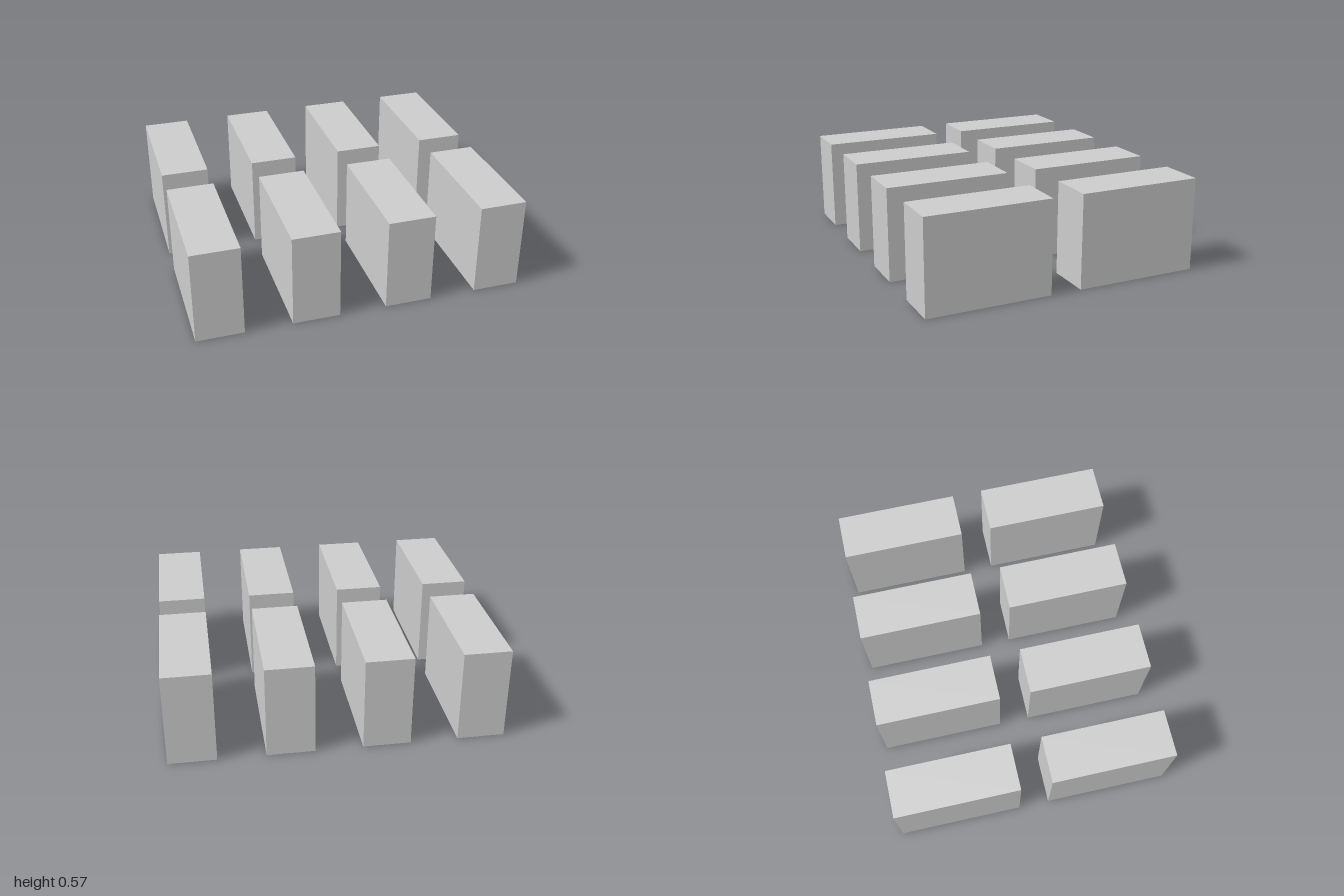
import * as THREE from 'three';

export function createModel() {
  const model = new THREE.Group();
  model.name = 'blockGrid';
  const material = new THREE.MeshStandardMaterial({ color: 0xcccccc });

  const unit = 1 / 7;
  const width = 2 * unit;
  const length = 0.762;
  const seam = 0.333; // height where the lower and upper courses meet
  const height = 4 * unit;

  const lowerGeometry = new THREE.BoxGeometry(width, seam, length).translate(0, seam / 2, 0);
  const upperGeometry = new THREE.BoxGeometry(width, height - seam, length)
    .translate(0, (height + seam) / 2, 0);

  // Two rows of four blocks, each made of a lower and an upper course
  for (const z of [-0.476, 0.476]) {
    for (const column of [-6, -2, 2, 6]) {
      const block = new THREE.Group();
      block.name = 'block';
      const lower = new THREE.Mesh(lowerGeometry, material);
      lower.name = 'lowerCourse';
      const upper = new THREE.Mesh(upperGeometry, material);
      upper.name = 'upperCourse';
      block.add(lower, upper);
      block.position.set(column * unit, 0, z);
      model.add(block);
    }
  }
  return model;
}
